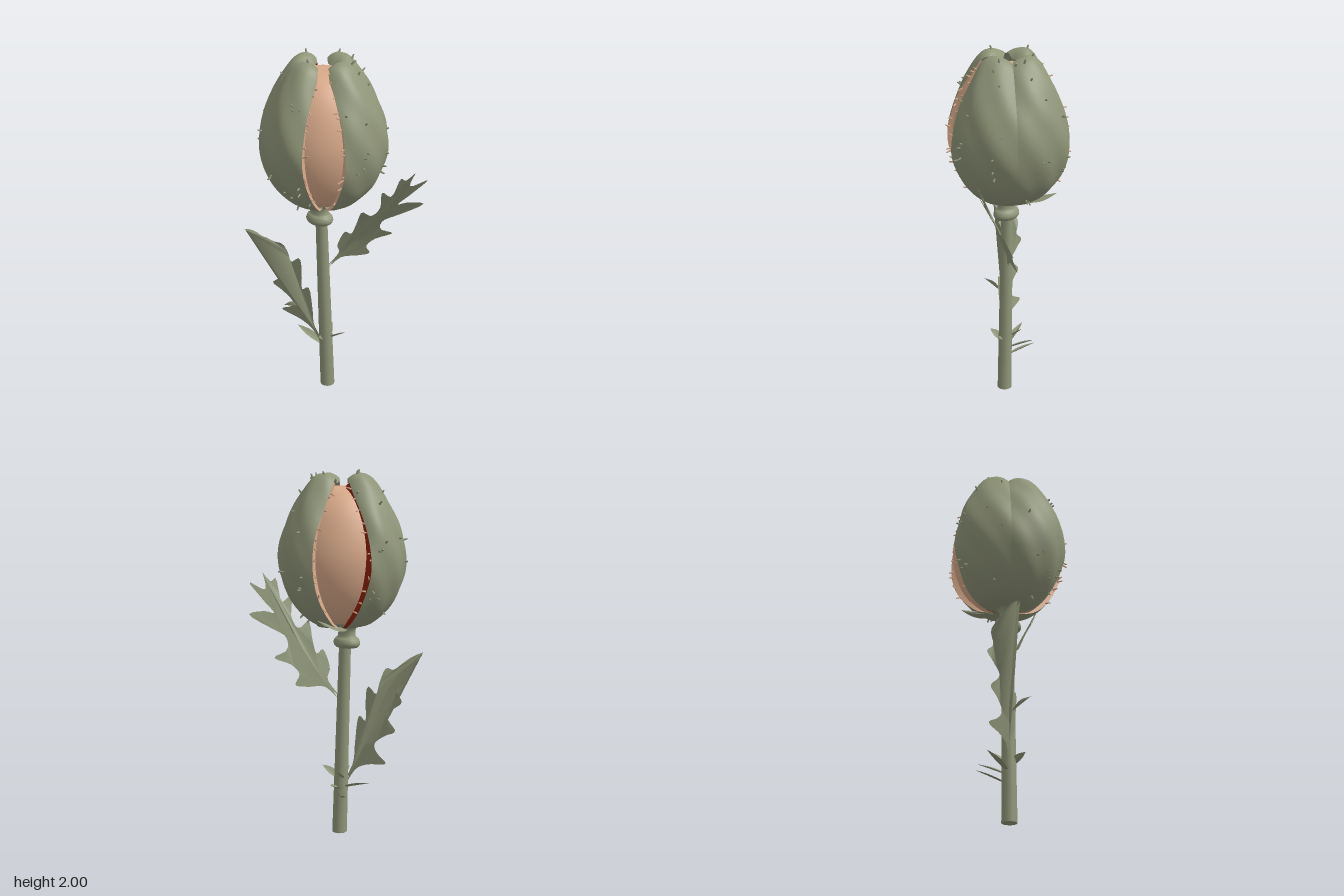
import * as THREE from 'three';
import { mergeGeometries } from 'three/addons/utils/BufferGeometryUtils.js';
import { ParametricGeometry } from 'three/addons/geometries/ParametricGeometry.js';

const V = (x, y, z) => new THREE.Vector3(x, y, z);
const UP = V(0, 1, 0);
const DEG = Math.PI / 180;
const BUD_X = -0.006, BUD_Z = -0.088;

function material(name, color) {
  const m = new THREE.MeshStandardMaterial({ color, side: THREE.DoubleSide });
  m.name = name;
  return m;
}

function seeded(seed) {
  return () => (seed = (seed * 16807) % 2147483647) / 2147483647;
}

const spline2 = (pts) => new THREE.SplineCurve(pts.map(([a, b]) => new THREE.Vector2(a, b)));

// Outer outline of the bud as radius and height
const budProfile = spline2([
  [0.04, 1.165], [0.16, 1.19], [0.265, 1.29], [0.327, 1.42], [0.346, 1.55], [0.327, 1.68],
  [0.28, 1.8], [0.22, 1.9], [0.167, 1.962], [0.12, 1.978], [0.085, 1.96], [0.06, 1.925],
]);

// Point on a valve: e runs across it from -1 to 1, v from bottom to tip
function valvePoint(valve, e, v, inset, target) {
  const p = budProfile.getPointAt(v);
  const gapWidth = 45 - (45 - valve.half) * Math.pow(Math.sin(Math.PI * v), 0.6);
  const tip = v < 0.82 ? 1 : Math.pow(Math.max(0.002, 1 - ((v - 0.82) / 0.18) ** 2), 0.44);
  const width = (e * valve.gapSide > 0 ? gapWidth : 50) * tip;
  const a = (valve.angle + e * width) * DEG;
  const rise = THREE.MathUtils.smoothstep(v, 0.35, 0.95);
  const lump = 0.007 * Math.sin(4 * a + 13 * v) * Math.sin(9 * v + 7 * a) * Math.sin(Math.PI * v);
  const r = p.x * (1 - (0.02 + 0.14 * rise) * e * e * tip * tip) * inset + lump;
  return target.set(BUD_X + r * Math.sin(a), p.y - 0.035 * rise * e * e * tip, BUD_Z + r * Math.cos(a));
}

// Small blunt hair
function hairGeometry(p, dir, length, radius) {
  const g = new THREE.CylinderGeometry(radius * 0.6, radius, length, 5);
  g.translate(0, length * 0.4, 0);
  g.applyQuaternion(new THREE.Quaternion().setFromUnitVectors(UP, dir.normalize()));
  return g.translate(p.x, p.y, p.z);
}

// Leaf half from an outline of [along, across] points, bent along a curve
function leafHalf(curve, across, outline, side, fold) {
  const pts = spline2(outline).getPoints(outline.length * 3);
  for (let i = 15; i > 0; i--) pts.push(new THREE.Vector2(i / 16, 0));
  const g = new THREE.ShapeGeometry(new THREE.Shape(pts));
  const pos = g.attributes.position;
  for (let i = 0; i < pos.count; i++) {
    const s = THREE.MathUtils.clamp(pos.getX(i), 0, 1);
    const w = pos.getY(i);
    const tangent = curve.getTangentAt(s);
    const sideways = across.clone().addScaledVector(tangent, -tangent.dot(across)).normalize();
    const normal = sideways.clone().cross(tangent);
    const p = curve.getPointAt(s).addScaledVector(sideways, side * w).addScaledVector(normal, fold * w);
    pos.setXYZ(i, p.x, p.y, p.z);
  }
  // Mirrored half: turn its faces round so that both halves face the same way
  if (side < 0) g.setIndex(Array.from(g.index.array).reverse());
  g.computeVertexNormals();
  return g;
}

function leaf(name, path, across, outlines, mat, fold = 0.05) {
  const curve = new THREE.CatmullRomCurve3(path.map((p) => V(...p)));
  const dir = V(...across).normalize();
  const halves = [1, -1].map((side, i) => leafHalf(curve, dir, outlines[i], side, fold));
  const mesh = new THREE.Mesh(mergeGeometries(halves), mat);
  mesh.name = name;
  return mesh;
}

export function createModel() {
  const green = material('sage green', 0x909679);
  const peach = material('peach', 0xd9aa8a);
  const red = material('deep red', 0x901f07);
  const root = new THREE.Group();
  root.name = 'flowerBud';
  const add = (name, geometry, mat, parent = root) => {
    const mesh = new THREE.Mesh(geometry, mat);
    mesh.name = name;
    parent.add(mesh);
    return mesh;
  };
  const rand = seeded(4711);

  // Stem, slightly tapered and leaning back
  const stem = new THREE.CylinderGeometry(0.032, 0.041, 1.1, 16, 6);
  const sp = stem.attributes.position;
  for (let i = 0; i < sp.count; i++) {
    const t = sp.getY(i) / 1.1 + 0.5;
    sp.setXYZ(i, sp.getX(i) - 0.01 - 0.01 * t, t * 1.1, sp.getZ(i) - 0.06 - 0.033 * t);
  }
  stem.computeVertexNormals();
  add('stem', stem, green);

  // Collar and neck below the bud
  const collar = new THREE.LatheGeometry(
    spline2([[0.03, 1.05], [0.06, 1.055], [0.074, 1.075], [0.066, 1.1], [0.05, 1.115], [0.05, 1.155], [0.08, 1.19]])
      .getPoints(18), 20);
  const collarMesh = add('collar', collar, green);
  collarMesh.position.set(-0.028, 0, -0.097);
  collarMesh.scale.set(0.88, 1, 1.1);

  // Inner core seen through the gaps
  const core = spline2([
    [0.001, 1.18], [0.14, 1.205], [0.235, 1.3], [0.285, 1.42], [0.3, 1.55], [0.278, 1.68],
    [0.23, 1.8], [0.162, 1.88], [0.09, 1.908], [0.001, 1.91],
  ]);
  add('core', new THREE.LatheGeometry(core.getPoints(36), 40), peach).position.set(BUD_X, 0, BUD_Z);

  // Four valves in two joined pairs, each with a rim wall on its gap side
  const valves = [
    { name: 'frontValve', angle: 0, half: 27, gapSide: -1, rim: peach, slant: 0 },
    { name: 'leftSideValve', angle: 90, half: 22, gapSide: 1, rim: peach, slant: 0 },
    { name: 'backValve', angle: 180, half: 15, gapSide: -1, rim: red, slant: 0.22 },
    { name: 'rightSideValve', angle: 270, half: 25, gapSide: 1, rim: peach, slant: 0 },
  ];
  for (const valve of valves) {
    const group = new THREE.Group();
    group.name = valve.name;
    root.add(group);
    const shell = new ParametricGeometry((u, v, t) => valvePoint(valve, 2 * u - 1, v, 1, t), 28, 56);
    shell.computeVertexNormals();
    add('shell', shell, green, group);
    const rim = new ParametricGeometry(
      (u, v, t) => valvePoint(valve, valve.gapSide * (1 + valve.slant * u), v * 0.88, 1 - 0.16 * u, t), 2, 48);
    rim.computeVertexNormals();
    add('rim', rim, valve.rim, group);

    // Short bristles on the shell
    const bristles = [];
    for (let i = 0; i < 13; i++) {
      const p = valvePoint(valve, rand() * 1.7 - 0.85, 0.12 + 0.82 * rand(), 1, V());
      const out = V(p.x - BUD_X, (p.y - 1.5) * 0.6 + 0.3 * (rand() - 0.5), p.z - BUD_Z);
      bristles.push(hairGeometry(p, out, 0.014 + 0.014 * rand(), 0.0065));
    }
    add('bristles', mergeGeometries(bristles), green, group);

    // Irregular hairs along the edge of the gap
    const hairs = [];
    for (let i = 0; i < 11; i++) {
      const p = valvePoint(valve, valve.gapSide, 0.2 + 0.66 * (i + rand()) / 11, 0.97, V());
      const out = V(p.x - BUD_X, 0, p.z - BUD_Z).normalize();
      const along = V(out.z, 0, -out.x).multiplyScalar(valve.gapSide * (0.3 + 1.4 * rand()));
      out.multiplyScalar(0.6).add(along).add(V(0, 1.4 * (rand() - 0.5), 0));
      hairs.push(hairGeometry(p, out, 0.02 + 0.025 * rand(), 0.0055));
    }
    add('edgeHairs', mergeGeometries(hairs), peach, group);
  }

  // Upper leaf, reaching forward
  root.add(leaf('upperLeaf',
    [[0.0, 0.77, -0.07], [0.06, 0.87, 0.0], [0.11, 1.03, 0.11], [0.14, 1.2, 0.25], [0.168, 1.43, 0.4]],
    [0.8, -0.42, 0.36],
    [
      [[0, 0.008], [0.12, 0.018], [0.18, 0.09], [0.23, 0.14], [0.27, 0.09], [0.35, 0.1], [0.45, 0.16], [0.45, 0.08],
        [0.53, 0.045], [0.63, 0.09], [0.77, 0.165], [0.75, 0.08], [0.71, 0.035], [0.82, 0.06], [0.97, 0.09],
        [0.88, 0.025], [1, 0]],
      [[0, 0.008], [0.14, 0.02], [0.2, 0.07], [0.33, 0.095], [0.33, 0.05], [0.42, 0.07], [0.55, 0.11],
        [0.54, 0.04], [0.64, 0.04], [0.78, 0.1], [0.76, 0.03], [0.92, 0.055], [0.92, 0.02], [1, 0]],
    ], green));

  // Lower leaf, reaching back with its tip turned sideways
  root.add(leaf('lowerLeaf',
    [[-0.03, 0.28, -0.08], [-0.085, 0.46, -0.15], [-0.125, 0.66, -0.22], [-0.155, 0.85, -0.3], [-0.22, 0.95, -0.345],
      [-0.335, 1.025, -0.37]],
    [-0.2, 0.25, -0.92],
    [
      [[0, 0.01], [0.12, 0.02], [0.2, 0.08], [0.27, 0.18], [0.29, 0.1], [0.33, 0.06], [0.41, 0.1], [0.48, 0.15],
        [0.51, 0.09], [0.54, 0.055], [0.61, 0.09], [0.68, 0.12], [0.71, 0.06], [0.79, 0.075], [0.86, 0.04],
        [0.95, 0.035], [1, 0]],
      [[0, 0.01], [0.14, 0.015], [0.26, 0.06], [0.42, 0.1], [0.42, 0.05], [0.5, 0.08], [0.62, 0.115], [0.61, 0.05],
        [0.68, 0.065], [0.77, 0.095], [0.8, 0.045], [0.93, 0.04], [1, 0]],
    ], green));
  root.add(leaf('lowerLeafLobe', [[-0.12, 0.52, -0.19], [-0.18, 0.57, -0.19], [-0.25, 0.59, -0.17]],
    [0, 0.7, 0.5], Array(2).fill([[0, 0.012], [0.5, 0.014], [1, 0]]), green));

  // Small leaflets around the foot of the lower leaf
  const blade = (w) => Array(2).fill([[0, w * 0.4], [0.3, w * 0.9], [0.6, w], [0.85, w * 0.5], [1, 0]]);
  for (const [x, y, z] of [[0.13, 0.315, -0.15], [0.1, 0.265, -0.2], [-0.04, 0.325, -0.27], [-0.1, 0.36, -0.04],
    [0.03, 0.37, 0.04], [0.06, 0.37, -0.13]]) {
    const dx = x + 0.014, dz = z + 0.07;
    root.add(leaf('leaflet',
      [[-0.014, y - 0.07, -0.07], [-0.014 + dx * 0.5, y - 0.035, -0.07 + dz * 0.5], [x, y, z]],
      [-dz, 0.06, dx], blade(0.022), green, 0.4));
  }

  // Small curled bract under the bud
  root.add(leaf('bract', [[0.0, 1.16, -0.11], [0.1, 1.175, -0.145], [0.19, 1.2, -0.17], [0.255, 1.24, -0.175]],
    [0.3, 0.1, 0.95], blade(0.055), green, -0.15));

  return root;
}
